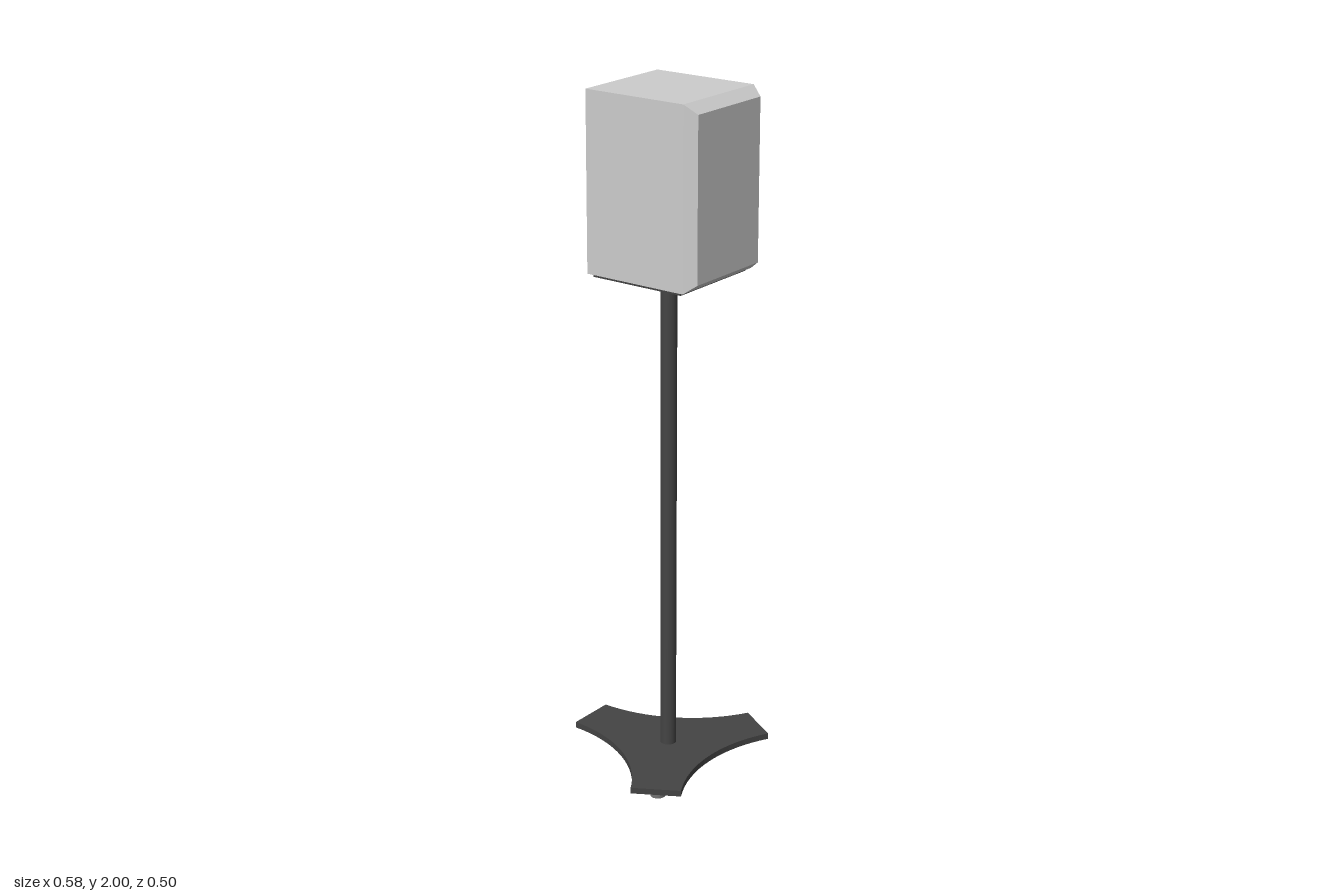
import * as THREE from 'three';

const CENTRE_Z = 0.04; // axis of the stand

export function createModel() {
  const model = new THREE.Group();
  model.name = 'speakerOnStand';
  const grey = new THREE.MeshStandardMaterial({ color: 0xcccccc });
  const dark = new THREE.MeshStandardMaterial({ color: 0x444444 });
  const footGrey = new THREE.MeshStandardMaterial({ color: 0x777777 });

  const add = (name, geometry, material, x, y, z) => {
    const mesh = new THREE.Mesh(geometry, material);
    mesh.name = name;
    mesh.position.set(x, y, z);
    model.add(mesh);
    return mesh;
  };

  // Cabinet: a box whose front edges are bevelled
  let cabinet = new THREE.BoxGeometry(0.316, 0.51, 0.36, 1, 1, 2);
  const p = cabinet.attributes.position;
  for (let i = 0; i < p.count; i++) {
    const z = p.getZ(i);
    if (Math.abs(z) < 0.01) p.setZ(i, 0.143);
    else if (z > 0) {
      p.setX(i, p.getX(i) < 0 ? -0.143 : 0.137);
      p.setY(i, p.getY(i) < 0 ? -0.228 : 0.23);
    }
  }
  cabinet = cabinet.toNonIndexed();
  cabinet.computeVertexNormals();
  add('cabinet', cabinet, grey, 0, 1.745, 0.06);

  // Mounting plate and pole
  add('mountingPlate', new THREE.BoxGeometry(0.3, 0.008, 0.295), dark, 0, 1.486, CENTRE_Z + 0.003);
  add('pole', new THREE.CylinderGeometry(0.023, 0.023, 1.445, 32), dark, 0, 0.762, CENTRE_Z);

  // Base: three arms joined by concave arcs
  const reach = 0.293, half = 0.072, radius = 0.435;
  const outline = [];
  for (let arm = 0; arm < 3; arm++) {
    const turn = Math.PI / 2 + arm * Math.PI * 2 / 3;
    // arc leaving the arm's side and ending at the next arm's tip
    for (let i = 0; i <= 16; i++) {
      const a = (i / 16) * Math.PI / 3;
      const along = reach - radius * Math.sin(a);
      const side = half + radius * (1 - Math.cos(a));
      outline.push(new THREE.Vector2(
        along * Math.cos(turn) - side * Math.sin(turn),
        along * Math.sin(turn) + side * Math.cos(turn)));
    }
  }
  const base = new THREE.ExtrudeGeometry(new THREE.Shape(outline), { depth: 0.018, bevelEnabled: false });
  base.rotateX(-Math.PI / 2);
  add('base', base, dark, 0, 0.026, CENTRE_Z);

  // Feet under the arm ends, and the screw holding the pole
  for (let i = 0; i < 3; i++) {
    const a = -Math.PI / 2 + i * Math.PI * 2 / 3;
    add('foot' + ['Back', 'Left', 'Right'][i], new THREE.CylinderGeometry(0.024, 0.022, 0.026, 24), footGrey,
      0.245 * Math.cos(a), 0.013, CENTRE_Z + 0.245 * Math.sin(a));
  }
  add('poleScrew', new THREE.CylinderGeometry(0.01, 0.01, 0.004, 16), footGrey, 0, 0.025, CENTRE_Z);

  return model;
}
